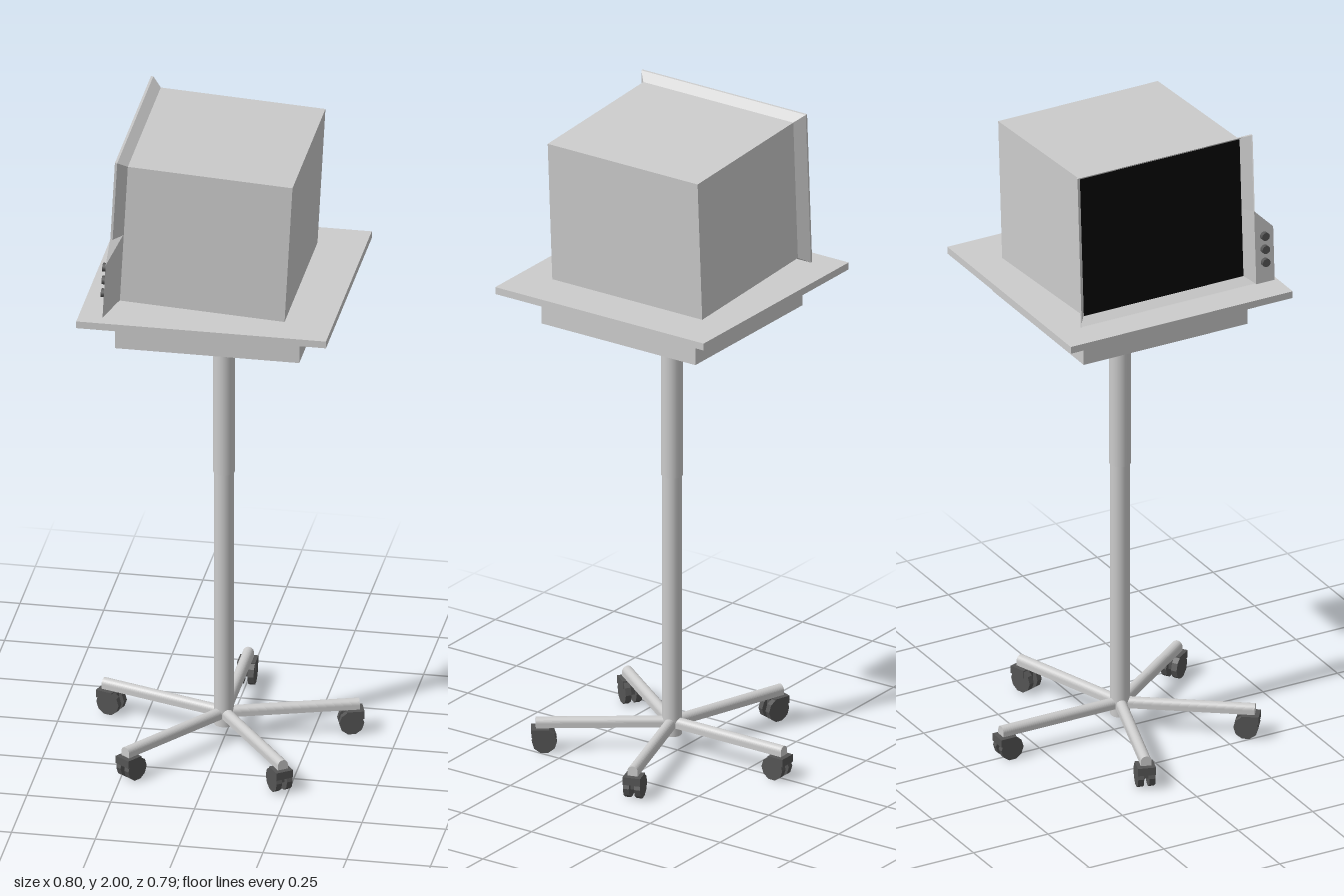
import * as THREE from 'three';
import { ConvexGeometry } from 'three/addons/geometries/ConvexGeometry.js';

const grey = new THREE.MeshStandardMaterial({ color: 0xcccccc });
const greyThin = new THREE.MeshStandardMaterial({ color: 0xcccccc, side: THREE.DoubleSide });
const dark = new THREE.MeshStandardMaterial({ color: 0x555555 });
const darkFlat = new THREE.MeshStandardMaterial({ color: 0x555555, flatShading: true });
const black = new THREE.MeshStandardMaterial({ color: 0x050505 });

function add(parent, name, geometry, material, x = 0, y = 0, z = 0) {
  const mesh = new THREE.Mesh(geometry, material);
  mesh.name = name;
  mesh.position.set(x, y, z);
  parent.add(mesh);
  return mesh;
}

// Rectangular rings [x, halfHeight, halfDepth] joined into an open flared frame
function flaredFrame(rings) {
  const corner = ([x, h, d], i) => [[x, h, d], [x, h, -d], [x, -h, -d], [x, -h, d]][i % 4];
  const pos = [];
  for (let r = 0; r < rings.length - 1; r++) {
    for (let i = 0; i < 4; i++) {
      const a = corner(rings[r], i), b = corner(rings[r], i + 1);
      const c = corner(rings[r + 1], i + 1), d = corner(rings[r + 1], i);
      pos.push(...a, ...b, ...c, ...a, ...c, ...d);
    }
  }
  const geometry = new THREE.BufferGeometry();
  geometry.setAttribute('position', new THREE.Float32BufferAttribute(pos, 3));
  geometry.computeVertexNormals();
  return geometry;
}

// Arm with a rounded top and flat underside, running towards -z, plus a twin-wheel caster
function createLeg() {
  const leg = new THREE.Group();
  leg.name = 'leg';
  const section = new THREE.Shape();
  section.moveTo(-0.016, 0);
  section.lineTo(0.016, 0);
  section.lineTo(0.016, 0.014);
  section.absellipse(0, 0.014, 0.016, 0.016, 0, Math.PI, false);
  section.closePath();
  const armGeo = new THREE.ExtrudeGeometry(section, { depth: 0.4, bevelEnabled: false, curveSegments: 8 });
  add(leg, 'arm', armGeo, grey, 0, 0.076, -0.4);

  const caster = new THREE.Group();
  caster.name = 'caster';
  caster.position.set(0, 0.037, -0.375);
  leg.add(caster);
  for (const side of [-1, 1]) {
    const wheel = add(caster, 'wheel', new THREE.CylinderGeometry(0.037, 0.037, 0.018, 10), darkFlat, side * 0.017, 0, 0);
    wheel.rotation.z = Math.PI / 2;
  }
  add(caster, 'casterHood', new THREE.BoxGeometry(0.054, 0.024, 0.052), dark, 0, 0.025, -0.012);
  add(caster, 'casterFork', new THREE.BoxGeometry(0.016, 0.04, 0.04), dark, 0, 0.014, 0);
  return leg;
}

function createMonitor() {
  const monitor = new THREE.Group();
  monitor.name = 'monitor';
  monitor.position.set(-0.004, 1.745, 0);
  monitor.rotation.z = -0.054;

  add(monitor, 'monitorCase', new THREE.BoxGeometry(0.492, 0.44, 0.536), grey);
  const rings = [[-0.246, 0.22, 0.268], [-0.274, 0.24, 0.294], [-0.281, 0.24, 0.294]];
  add(monitor, 'screenFrame', flaredFrame(rings), greyThin);
  const screen = add(monitor, 'screen', new THREE.PlaneGeometry(0.536, 0.44), black, -0.248, 0, 0);
  screen.rotation.y = -Math.PI / 2;

  // Wedge-shaped control panel beside the screen
  const wedge = [
    [-0.281, -0.24, 0.292], [-0.281, -0.24, 0.354], [-0.281, -0.068, 0.354],
    [-0.281, -0.005, 0.292], [-0.248, -0.22, 0.27], [-0.248, -0.005, 0.27],
  ].map((p) => new THREE.Vector3(...p));
  add(monitor, 'controlPanel', new ConvexGeometry(wedge), grey);
  for (let i = 0; i < 3; i++) {
    const knob = add(monitor, 'knob', new THREE.CylinderGeometry(0.013, 0.013, 0.014, 12), dark, -0.287, -0.09 - i * 0.042, 0.322);
    knob.rotation.z = Math.PI / 2;
  }
  return monitor;
}

export function createModel() {
  const model = new THREE.Group();
  model.name = 'monitorStand';
  const body = new THREE.Group();
  body.name = 'body';
  body.position.z = 0.02;
  model.add(body);

  // Five-legged rolling base
  for (let i = 0; i < 5; i++) {
    const leg = createLeg();
    leg.rotation.y = (i * Math.PI * 2) / 5;
    body.add(leg);
  }

  // Two-stage column
  add(body, 'lowerColumn', new THREE.CylinderGeometry(0.029, 0.029, 0.83, 24), grey, 0, 0.465, 0);
  add(body, 'upperColumn', new THREE.CylinderGeometry(0.032, 0.032, 0.52, 24), grey, 0, 1.135, 0);

  // Table top and the box beneath it
  add(body, 'underBox', new THREE.BoxGeometry(0.55, 0.106, 0.55), grey, 0, 1.438, 0);
  add(body, 'tableTop', new THREE.BoxGeometry(0.745, 0.022, 0.745), grey, 0, 1.5, 0);

  body.add(createMonitor());
  return model;
}
